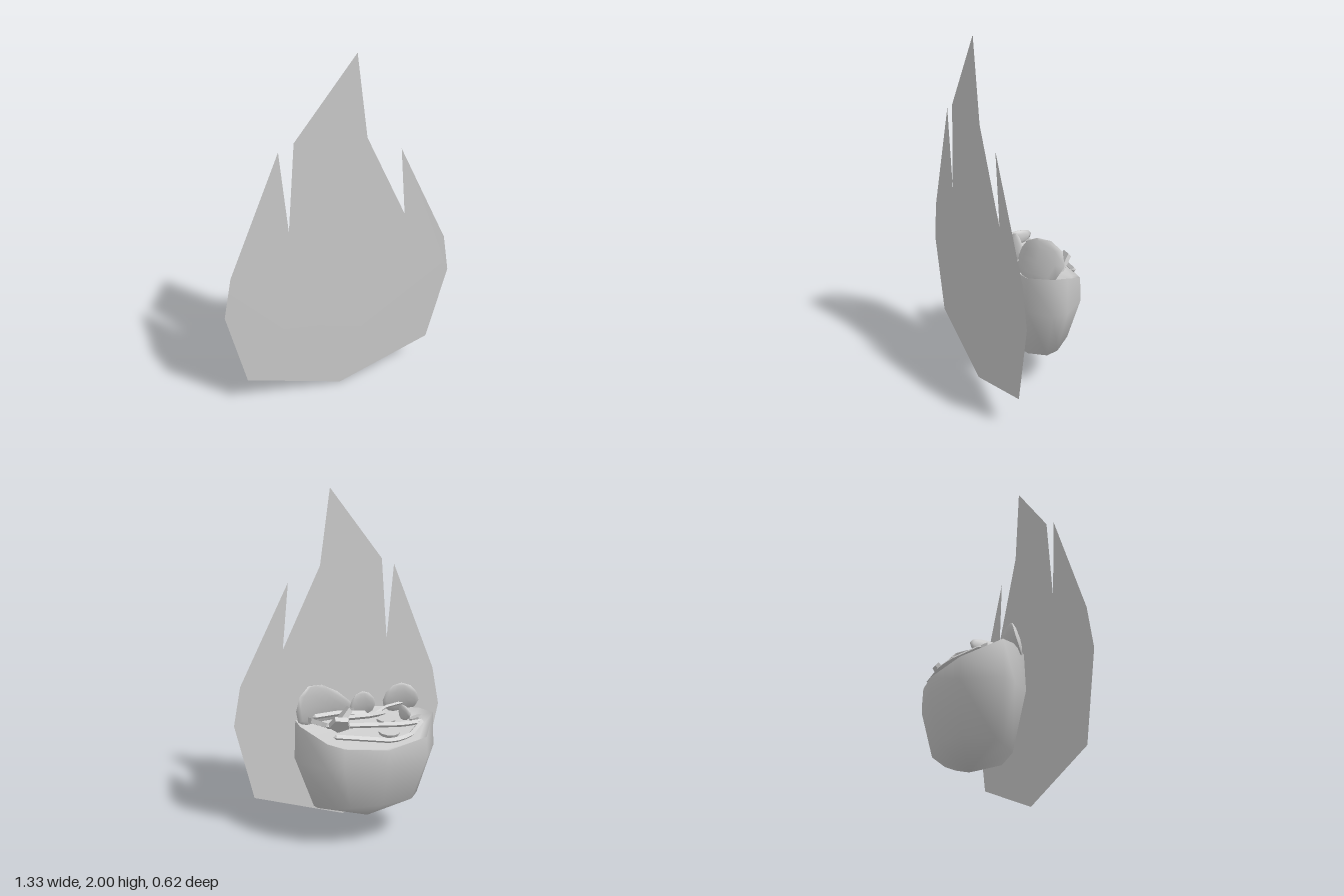
import * as THREE from 'three';

const material = new THREE.MeshStandardMaterial({ color: 0xcccccc, side: THREE.DoubleSide });
const flatMaterial = new THREE.MeshStandardMaterial({ color: 0xcccccc, side: THREE.DoubleSide, flatShading: true });

// Height of the sloping filling inside the bowl
const fillY = (z) => 0.685 + 0.22 * z;

function add(group, name, geometry, mat = material) {
  const mesh = new THREE.Mesh(geometry, mat);
  mesh.name = name;
  group.add(mesh);
  return mesh;
}

// Surface through rings with equal point counts, closed around
function loft(rings, tip) {
  const n = rings[0].length, index = [];
  for (let r = 0; r < rings.length - 1; r++)
    for (let i = 0; i < n; i++) {
      const a = r * n + i, b = r * n + (i + 1) % n;
      index.push(a, a + n, b, b, a + n, b + n);
    }
  const last = (rings.length - 1) * n, end = rings.length * n;
  for (let i = 0; i < n; i++) index.push(last + i, end, last + (i + 1) % n);
  const g = new THREE.BufferGeometry();
  g.setAttribute('position', new THREE.Float32BufferAttribute([...rings, [tip]].flat(2), 3));
  g.setIndex(index);
  g.computeVertexNormals();
  return g;
}

// Thin rounded leaf, curled back at its ends and skewed upward on one side
function leafGeometry(width, height, thick, curl, skew = 0) {
  const g = new THREE.SphereGeometry(1, 10, 6);
  const p = g.attributes.position;
  for (let i = 0; i < p.count; i++) {
    const x = p.getX(i), y = p.getY(i);
    p.setXYZ(i, x * width, (y + skew * x * (y + 1)) * height, p.getZ(i) * thick - curl * x * x);
  }
  g.computeVertexNormals();
  return g;
}

// Bent strip: straight segments with a squarish section
function strip(group, points, radius) {
  const path = new THREE.CurvePath();
  const v = points.map((p) => new THREE.Vector3(...p));
  for (let i = 1; i < v.length; i++) path.add(new THREE.LineCurve3(v[i - 1], v[i]));
  add(group, 'strip', new THREE.TubeGeometry(path, 12, radius, 4), flatMaterial);
  for (const [i, name] of [[0, 'stripStart'], [v.length - 1, 'stripEnd']])
    add(group, name, new THREE.OctahedronGeometry(radius), flatMaterial).position.copy(v[i]);
}

export function createModel() {
  const model = new THREE.Group();
  model.name = 'flameBowl';

  // Flame-shaped panel standing in front
  const outline = [
    [0, 0], [0.56, 0.19], [0.665, 0.65], [0.62, 0.88], [0.32, 1.47], [0.36, 1.08], [0.125, 1.56],
    [0.06, 2], [-0.265, 1.59], [-0.3, 1.1], [-0.345, 1.555], [-0.62, 0.89], [-0.665, 0.65], [-0.56, 0.19],
  ];
  const flame = new THREE.ShapeGeometry(new THREE.Shape(outline.map((p) => new THREE.Vector2(...p))));
  const fp = flame.attributes.position;
  for (let i = 0; i < fp.count; i++) fp.setZ(i, 0.295 + 0.012 * Math.min(1, fp.getY(i)));
  flame.computeVertexNormals();
  add(model, 'flamePanel', flame);

  // Bowl: rim corners as x, z and rim height, narrowing to a point below
  const bowl = new THREE.Group();
  bowl.name = 'bowl';
  model.add(bowl);
  const cx = -0.02, cz = -0.07;
  const rim = [
    [-0.05, -0.31, 0.61], [0.19, -0.26, 0.63], [0.28, -0.225, 0.66], [0.39, -0.08, 0.73], [0.39, 0.01, 0.74],
    [0.27, 0.11, 0.72], [-0.02, 0.18, 0.735], [-0.3, 0.12, 0.72], [-0.39, 0.01, 0.73], [-0.44, -0.075, 0.72],
    [-0.31, -0.255, 0.64],
  ];
  const ring = (scale, height) => rim.map(([x, z, y]) =>
    [cx + (x - cx) * scale, height(y, z), cz + (z - cz) * scale]);
  add(bowl, 'bowlShell', loft([
    ring(0.98, (y) => y),
    ring(1, () => 0.52),
    ring(0.75, (y, z) => 0.235 - 0.15 * (z - cz)),
  ], [cx, 0.14, cz]));
  add(bowl, 'filling', loft([
    ring(0.98, (y) => y),
    ring(0.85, (y, z) => fillY(z) - 0.01),
  ], [cx, 0.67, cz]));

  // Leaves standing along the front rim
  const leaves = new THREE.Group();
  leaves.name = 'leaves';
  model.add(leaves);
  const leafSpecs = [
    // x, y, z, half width, half height, half thickness, curl, skew, lean, turn
    [0.22, 0.8, 0.055, 0.19, 0.13, 0.022, 0.07, 0.28, -0.25, 0.18],
    [-0.03, 0.78, 0.055, 0.08, 0.085, 0.02, 0.025, 0, -0.3, 0],
    [-0.28, 0.79, 0.07, 0.11, 0.1, 0.025, 0.035, 0, -0.3, -0.15],
  ];
  for (const [x, y, z, w, h, t, curl, skew, lean, turn] of leafSpecs) {
    const leaf = add(leaves, 'leaf', leafGeometry(w, h, t, curl, skew));
    leaf.position.set(x, y, z);
    leaf.rotation.set(lean, turn, 0);
  }

  // Thin bent strips lying across the filling
  const strips = new THREE.Group();
  strips.name = 'strips';
  model.add(strips);
  strip(strips, [[-0.32, 0.7, -0.15], [-0.2, 0.66, -0.25], [-0.09, 0.65, -0.27], [0.22, 0.69, -0.21]], 0.015);
  strip(strips, [[-0.32, 0.7, -0.15], [-0.2, 0.7, -0.165], [0.24, 0.73, -0.13]], 0.015);
  strip(strips, [[-0.16, 0.72, 0.02], [-0.03, 0.74, -0.06], [0.12, 0.74, -0.05]], 0.016);
  strip(strips, [[-0.29, 0.76, 0.055], [-0.18, 0.75, 0.04], [-0.1, 0.73, 0]], 0.01);
  strip(strips, [[-0.04, 0.73, 0.02], [0.12, 0.75, 0.02], [0.27, 0.75, 0]], 0.016);

  // Round slices and angular chunks on the filling: x, lift, z, radius, thickness, sides, tilt x, tilt z
  const pieces = new THREE.Group();
  pieces.name = 'pieces';
  model.add(pieces);
  const pieceSpecs = [
    ['slice', -0.11, 0.02, -0.165, 0.065, 0.02, 12, -0.2, 0],
    ['slice', -0.15, 0.02, -0.03, 0.06, 0.02, 8, -0.2, 0],
    ['chunk', 0.27, 0.06, -0.06, 0.065, 0.025, 6, 0.2, 0.4],
    ['chunk', -0.31, 0.04, -0.1, 0.04, 0.025, 6, 0.2, -0.3],
    ['chunk', 0.18, 0.09, -0.16, 0.065, 0.025, 5, 0.9, 0.2],
    ['chunk', 0.13, 0.09, -0.08, 0.075, 0.03, 5, 0.4, -0.8],
  ];
  for (const [name, x, lift, z, r, t, sides, tx, tz] of pieceSpecs) {
    const piece = add(pieces, name, new THREE.CylinderGeometry(r, r * 0.9, t, sides), flatMaterial);
    piece.position.set(x, fillY(z) + lift, z);
    piece.rotation.set(tx, 0, tz);
  }
  // Long petal on the right
  const petal = add(pieces, 'petal', leafGeometry(0.1, 0.045, 0.02, 0.02));
  petal.position.set(-0.24, 0.74, -0.07);
  petal.rotation.set(0, 1.4, 0.15);

  return model;
}
